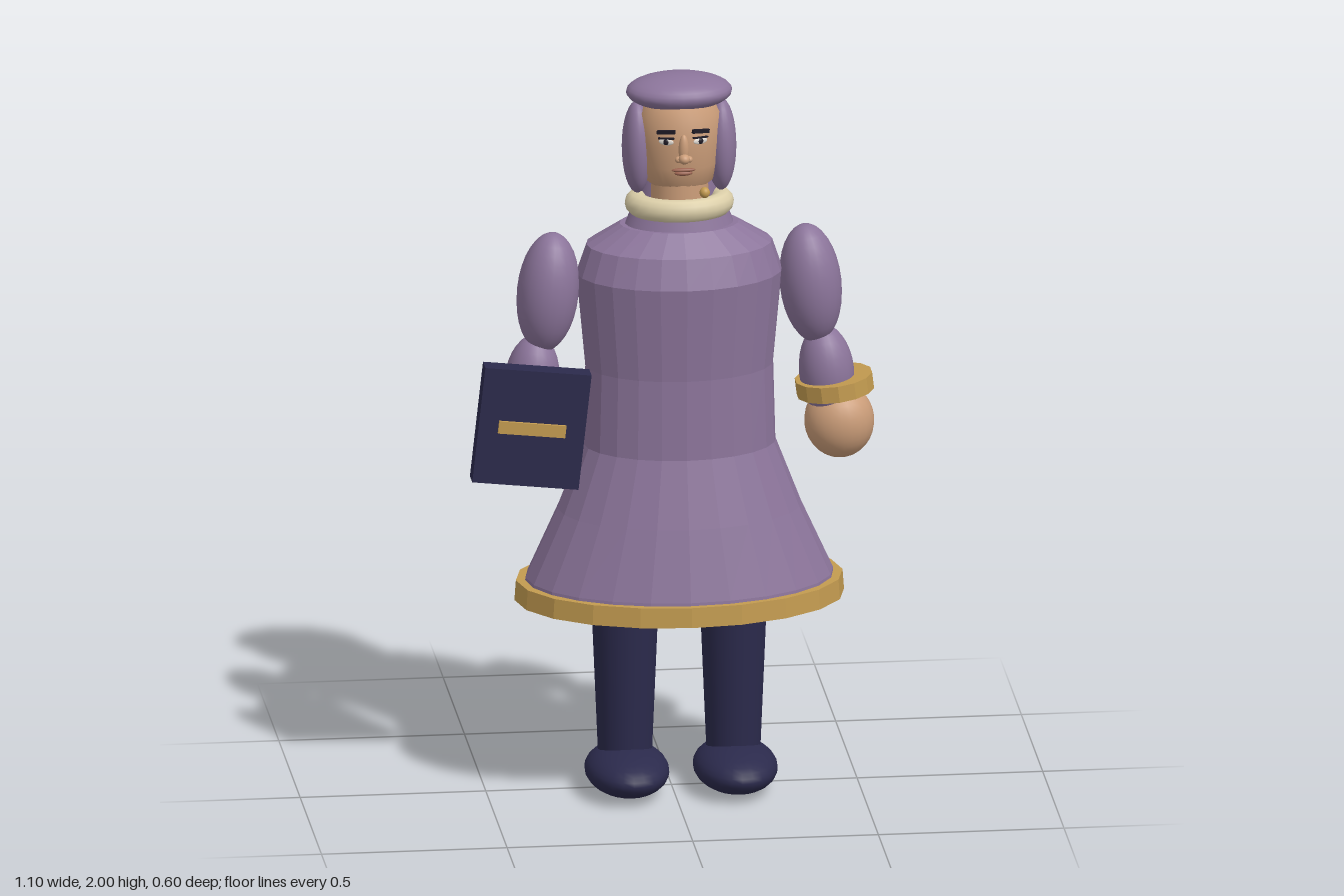
import * as THREE from 'three';

export function createModel() {
  const mat = (name, color) => {
    const m = new THREE.MeshStandardMaterial({ color });
    m.name = name;
    return m;
  };
  const purple = mat('purple cloth', 0x8c759b);
  const gold = mat('gold trim', 0xc39b50);
  const navy = mat('navy', 0x2b2a4c);
  const skin = mat('skin', 0xcb9d79);
  const cream = mat('cream collar', 0xdccfa9);
  const dark = mat('dark hair lines', 0x1f1b26);
  const white = mat('eye white', 0xe2dcd4);
  const lip = mat('lips', 0x9a6350);

  const model = new THREE.Group();
  const figure = new THREE.Group(); // symmetric about its own centre
  figure.name = 'figure';
  figure.position.x = 0.021;
  model.add(figure);

  const add = (parent, name, geo, material, x = 0, y = 0, z = 0) => {
    const m = new THREE.Mesh(geo, material);
    m.name = name;
    m.position.set(x, y, z);
    parent.add(m);
    return m;
  };
  const flat = (geo) => {
    const g = geo.toNonIndexed();
    g.computeVertexNormals();
    return g;
  };
  const ball = (parent, name, material, [x, y, z], [rx, ry, rz], tilt = 0) => {
    const m = add(parent, name, new THREE.SphereGeometry(1, 24, 16), material, x, y, z);
    m.scale.set(rx, ry, rz);
    m.rotation.z = tilt;
    return m;
  };
  // Loft of elliptical rings [y, rx, rz], closed at both ends
  const loft = (rings, n) => {
    const pos = [], idx = [];
    const all = [[rings[0][0], 0, 0], ...rings, [rings.at(-1)[0], 0, 0]];
    for (const [y, rx, rz] of all) {
      for (let i = 0; i < n; i++) {
        const a = (i / n) * Math.PI * 2;
        pos.push(rx * Math.sin(a), y, rz * Math.cos(a));
      }
    }
    for (let r = 0; r < all.length - 1; r++) {
      for (let i = 0; i < n; i++) {
        const a = r * n + i, b = r * n + ((i + 1) % n);
        if (r > 0) idx.push(a, b, b + n);
        else idx.push(a, b + n, a + n);
        if (r > 0 && r < all.length - 2) idx.push(a, b + n, a + n);
      }
    }
    const g = new THREE.BufferGeometry();
    g.setAttribute('position', new THREE.Float32BufferAttribute(pos, 3));
    g.setIndex(idx);
    return g;
  };

  // Robe with flared skirt and shoulders
  add(figure, 'robe', flat(loft([
    [0.55, 0.42, 0.284], [0.6, 0.414, 0.278], [0.79, 0.328, 0.232], [0.97, 0.259, 0.184],
    [1.19, 0.253, 0.178], [1.45, 0.277, 0.196], [1.53, 0.25, 0.167], [1.585, 0.16, 0.108],
  ], 24)), purple);
  add(figure, 'hem', flat(loft([[0.537, 0.444, 0.3], [0.592, 0.44, 0.297]], 20)), gold);

  // Neck cloth, neck and rolled collar
  const cloth = add(figure, 'neckCloth', new THREE.CylinderGeometry(0.125, 0.155, 0.08, 24), purple, 0, 1.6, 0);
  cloth.scale.z = 0.68;
  const nape = add(figure, 'nape', new THREE.CylinderGeometry(0.1, 0.11, 0.14, 20), purple, 0, 1.68, -0.035);
  nape.scale.z = 0.65;
  add(figure, 'neck', new THREE.CylinderGeometry(0.075, 0.08, 0.16, 20), skin, 0, 1.67, 0.012);
  const collar = add(figure, 'collar', new THREE.TorusGeometry(0.115, 0.032, 12, 28), cream, 0, 1.642, 0.002);
  collar.rotation.x = Math.PI / 2;
  collar.scale.y = 0.77;

  // Head, hair and cap
  const profile = [[0, 1.69], [0.07, 1.692], [0.092, 1.71], [0.105, 1.76], [0.11, 1.82], [0.11, 1.9], [0.07, 1.95], [0, 1.96]];
  const head = add(figure, 'head', new THREE.LatheGeometry(profile.map(([r, y]) => new THREE.Vector2(r, y)), 32), skin);
  head.scale.z = 0.95;
  ball(figure, 'backHair', purple, [0, 1.82, -0.058], [0.128, 0.152, 0.095]);
  ball(figure, 'cap', purple, [0, 1.952, -0.004], [0.143, 0.048, 0.104]);

  // Face
  ball(figure, 'noseBridge', skin, [0, 1.82, 0.107], [0.014, 0.042, 0.014]);
  ball(figure, 'noseTip', skin, [0, 1.797, 0.118], [0.015, 0.014, 0.017]);
  ball(figure, 'upperLip', lip, [0, 1.761, 0.1], [0.032, 0.006, 0.008]);
  ball(figure, 'lowerLip', lip, [0, 1.752, 0.1], [0.024, 0.007, 0.009]);
  ball(figure, 'pendant', gold, [0.06, 1.688, 0.077], [0.014, 0.015, 0.014]);

  for (const s of [-1, 1]) {
    const side = new THREE.Group();
    side.name = s > 0 ? 'leftSide' : 'rightSide';
    figure.add(side);

    // Eye, brow, nostril and hair lock
    const eye = new THREE.Group();
    eye.name = 'eye';
    eye.position.set(s * 0.046, 1.84, 0.096);
    eye.rotation.y = s * 0.4;
    side.add(eye);
    ball(eye, 'eyeWhite', white, [0, 0, 0], [0.021, 0.009, 0.004]);
    ball(eye, 'iris', dark, [0, 0, 0.002], [0.008, 0.008, 0.004]);
    const lid = add(eye, 'lid', new THREE.BoxGeometry(0.044, 0.004, 0.008), dark, 0, 0.01, 0);
    lid.rotation.z = -s * 0.05;
    const brow = add(eye, 'brow', new THREE.BoxGeometry(0.05, 0.01, 0.009), dark, 0, 0.028, 0.002);
    brow.rotation.z = -s * 0.1;
    ball(side, 'nostril', skin, [s * 0.014, 1.793, 0.108], [0.01, 0.009, 0.01]);
    ball(side, 'hairLock', purple, [s * 0.113, 1.798, -0.004], [0.041, 0.128, 0.062]);

    // Arm, cuff and hand
    ball(side, 'upperArm', purple, [s * 0.354, 1.4, 0], [0.083, 0.166, 0.09], s * 0.1);
    ball(side, 'forearm', purple, [s * 0.397, 1.15, 0], [0.074, 0.13, 0.077], s * 0.1);
    const cuff = add(side, 'cuff', flat(new THREE.CylinderGeometry(0.105, 0.105, 0.045, 14)), gold, s * 0.418, 1.115, 0);
    cuff.rotation.z = s * 0.12;
    ball(side, 'hand', skin, [s * 0.431, 1.012, 0], [0.094, 0.103, 0.085], s * 0.1);

    // Leg and shoe
    add(side, 'leg', new THREE.CylinderGeometry(0.093, 0.072, 0.5, 20), navy, s * 0.146, 0.33, 0);
    ball(side, 'shoe', navy, [s * 0.146, 0.066, 0.043], [0.113, 0.063, 0.177]);
  }

  // Book held at the right hand
  const book = new THREE.Group();
  book.name = 'book';
  book.position.set(-0.392, 1.062, 0.115);
  book.rotation.z = -0.11;
  model.add(book);
  add(book, 'cover', new THREE.BoxGeometry(0.288, 0.322, 0.056), navy);
  add(book, 'coverBand', new THREE.BoxGeometry(0.182, 0.034, 0.009), gold, 0, 0, 0.032);

  return model;
}
